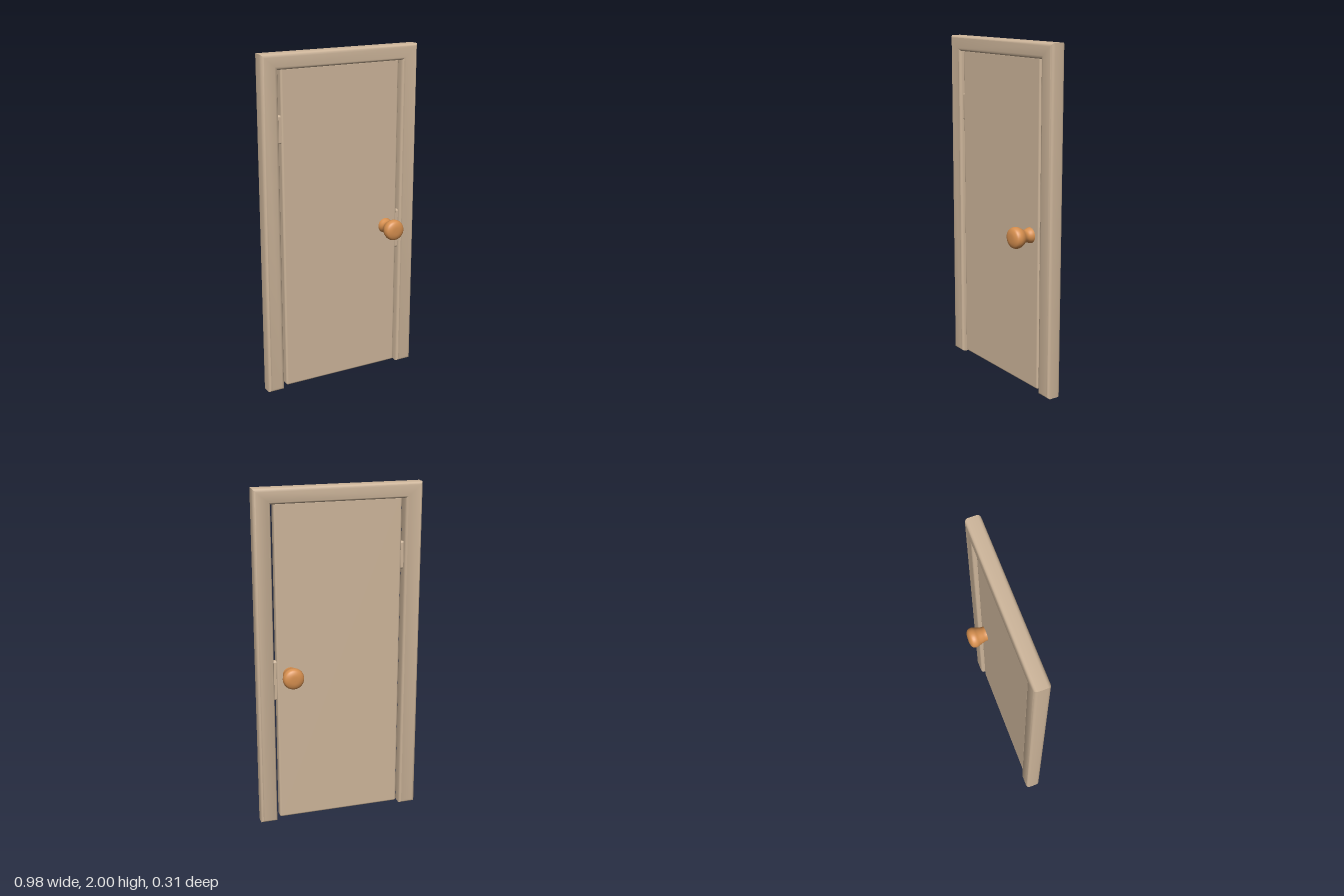
import * as THREE from 'three';
import { toCreasedNormals } from 'three/addons/utils/BufferGeometryUtils.js';
import { RoundedBoxGeometry } from 'three/addons/geometries/RoundedBoxGeometry.js';

const tan = new THREE.MeshStandardMaterial({ color: 0xcdb59a });
tan.name = 'tan wood';
const orange = new THREE.MeshStandardMaterial({ color: 0xd68f4f });
orange.name = 'orange knob';

function add(group, name, geometry, material, x = 0, y = 0, z = 0) {
  const mesh = new THREE.Mesh(geometry, material);
  mesh.name = name;
  mesh.position.set(x, y, z);
  group.add(mesh);
  return mesh;
}

// Box given by its extents, with rounded edges
function addBox(group, name, [x0, x1], [y0, y1], [z0, z1], radius) {
  const geometry = new RoundedBoxGeometry(x1 - x0, y1 - y0, z1 - z0, 3, radius);
  return add(group, name, geometry, tan, (x0 + x1) / 2, (y0 + y1) / 2, (z0 + z1) / 2);
}

// Jambs and lintel as one softly bevelled arch, z -0.06 to 0.03
function frameGeometry() {
  const bevel = 0.02;
  const outline = [
    [-0.49, 0], [-0.39, 0], [-0.39, 1.91], [0.39, 1.91],
    [0.39, 0], [0.49, 0], [0.49, 2], [-0.49, 2],
  ];
  const shape = new THREE.Shape(outline.map(([x, y]) => new THREE.Vector2(x, y)));
  const geometry = new THREE.ExtrudeGeometry(shape, {
    depth: 0.09 - 2 * bevel, bevelEnabled: true, bevelThickness: bevel,
    bevelSize: bevel, bevelOffset: -bevel, bevelSegments: 4,
  });
  geometry.translate(0, 0, -0.06 + bevel);
  return toCreasedNormals(geometry, 0.7);
}

// Turned knob: flared base, narrow neck, round head, pointing along +z
function knobGeometry(neck) {
  const profile = [
    [0.046, 0], [0.044, 0.025], [neck, 0.05], [neck + 0.004, 0.068], [0.054, 0.09],
    [0.061, 0.108], [0.061, 0.125], [0.053, 0.141], [0.03, 0.151], [0, 0.153],
  ].map(([r, h]) => new THREE.Vector2(r, h));
  const curve = new THREE.SplineCurve(profile).getPoints(36);
  curve[curve.length - 1].x = 0;
  return new THREE.LatheGeometry(curve, 32).rotateX(Math.PI / 2);
}

export function createModel() {
  const model = new THREE.Group();
  model.name = 'door';

  add(model, 'frame', frameGeometry(), tan);
  addBox(model, 'doorPanel', [-0.372, 0.372], [0.015, 1.92], [-0.042, 0.016], 0.012);

  // Latch and hinge bridging the side gaps
  addBox(model, 'latch', [0.35, 0.41], [0.77, 1.01], [-0.03, 0.008], 0.01);
  addBox(model, 'hinge', [-0.41, -0.35], [1.5, 1.66], [-0.03, 0.008], 0.01);

  // Knobs on both sides
  add(model, 'frontKnob', knobGeometry(0.036), orange, 0.295, 0.927, 0);
  add(model, 'backKnob', knobGeometry(0.044), orange, 0.295, 0.927, -0.002).rotation.y = Math.PI;

  return model;
}
